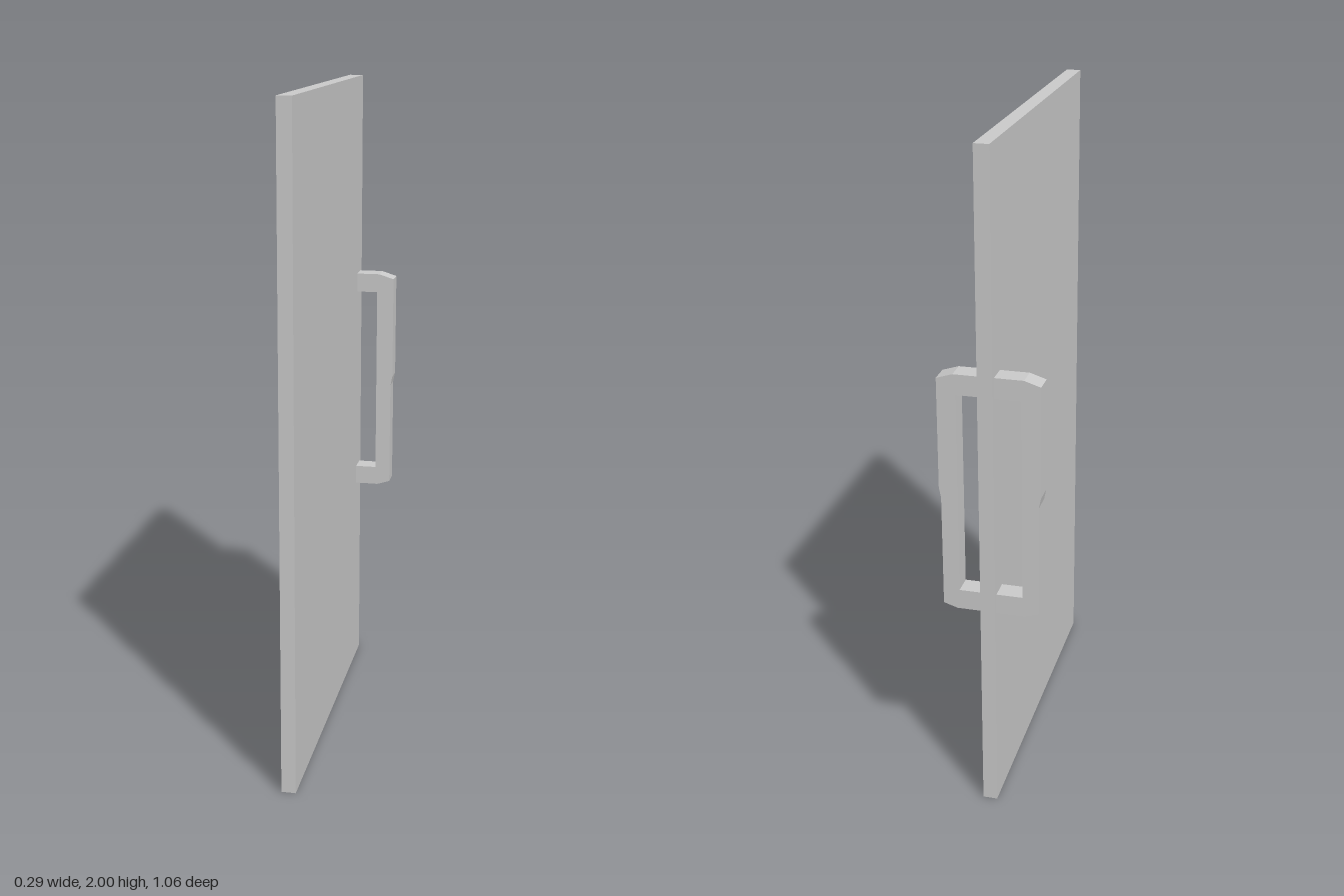
import * as THREE from 'three';

export function createModel() {
  const group = new THREE.Group();
  const material = new THREE.MeshStandardMaterial({ color: 0xcccccc, flatShading: true });

  // Flat door leaf
  const panel = new THREE.Mesh(new THREE.BoxGeometry(0.043, 2, 1.056), material);
  panel.name = 'doorPanel';
  panel.position.set(0.004, 1, 0);
  group.add(panel);

  // C-shaped pull handle with clipped corners, one on each face
  const makeHandle = (side, name) => {
    const root = side > 0 ? 0.02 : 0.014; // leg ends sit just inside the panel
    const outline = [
      [root, 1.365], [0.1, 1.365], [0.147, 1.35], [0.147, 1.02], [0.141, 0.99], [0.141, 0.653],
      [0.1, 0.64], [root, 0.64], [root, 0.7], [0.093, 0.7], [0.093, 1.305], [root, 1.305],
    ].map(([x, y]) => new THREE.Vector2(side * x - 0.001, y));
    const geometry = new THREE.ExtrudeGeometry(new THREE.Shape(outline), { depth: 0.062, bevelEnabled: false });
    const handle = new THREE.Mesh(geometry, material);
    handle.name = name;
    handle.position.z = -0.51;
    group.add(handle);
  };
  makeHandle(1, 'leftHandle');
  makeHandle(-1, 'rightHandle');

  return group;
}
